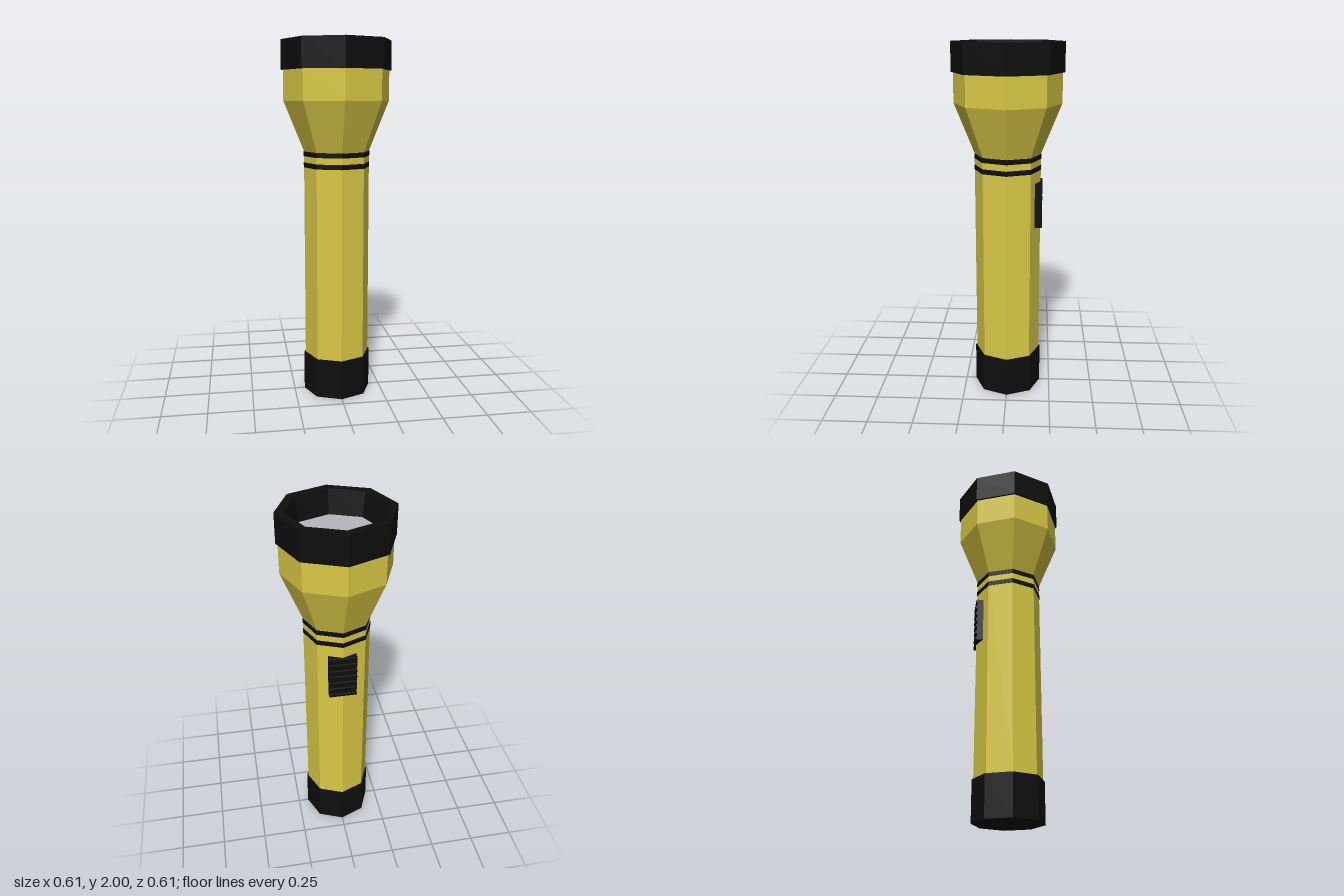
import * as THREE from 'three';

const SIDES = 8;

function material(color) {
  return new THREE.MeshStandardMaterial({ color, flatShading: true });
}

export function createModel() {
  const group = new THREE.Group();
  const yellow = material(0xd9c945);
  const black = material(0x0e0e0e);
  const grey = material(0xb6b6bc);

  // Eight-sided turned part; profile is [radius, height] pairs, outside going up
  function turned(name, profile, mat) {
    const points = profile.map(([r, y]) => new THREE.Vector2(r, y));
    const mesh = new THREE.Mesh(new THREE.LatheGeometry(points, SIDES), mat);
    mesh.name = name;
    group.add(mesh);
    return mesh;
  }

  // Barrel and flared head
  turned('barrel', [[0.184, 0.2], [0.184, 1.4]], yellow);
  turned('head', [[0.184, 1.4], [0.295, 1.675], [0.295, 1.845]], yellow);

  // End cap
  turned('endCap', [[0, 0], [0.192, 0], [0.192, 0.225], [0.18, 0.225]], black);

  // Head rim with its sloping inner wall
  turned('headRim', [[0.29, 1.84], [0.306, 1.84], [0.306, 2], [0.258, 2], [0.232, 1.87]], black);

  // Lens
  turned('lens', [[0.234, 1.87], [0, 1.87]], grey);

  // Two stripes around the neck
  for (const y of [1.31, 1.372]) {
    turned('neckStripe', [[0.183, y], [0.186, y], [0.186, y + 0.027], [0.183, y + 0.027]], black);
  }

  // Ribbed slide switch on the back: toothed side profile extruded across x
  const bottom = 0.993, top = 1.245, teeth = 7, width = 0.152;
  const pitch = (top - bottom) / (teeth - 0.5);
  const profile = new THREE.Shape();
  profile.moveTo(0.148, bottom);
  for (let i = 0; i < teeth; i++) {
    const y = bottom + i * pitch;
    profile.lineTo(0.186, y);
    profile.lineTo(0.194, y + pitch * 0.08);
    profile.lineTo(0.194, y + pitch * 0.42);
    profile.lineTo(0.186, y + pitch * 0.5);
  }
  profile.lineTo(0.148, top);
  const switchGeometry = new THREE.ExtrudeGeometry(profile, { depth: width, bevelEnabled: false });
  switchGeometry.translate(0, 0, -width / 2);
  switchGeometry.rotateY(Math.PI / 2);
  const slideSwitch = new THREE.Mesh(switchGeometry, black);
  slideSwitch.name = 'slideSwitch';
  group.add(slideSwitch);

  return group;
}
